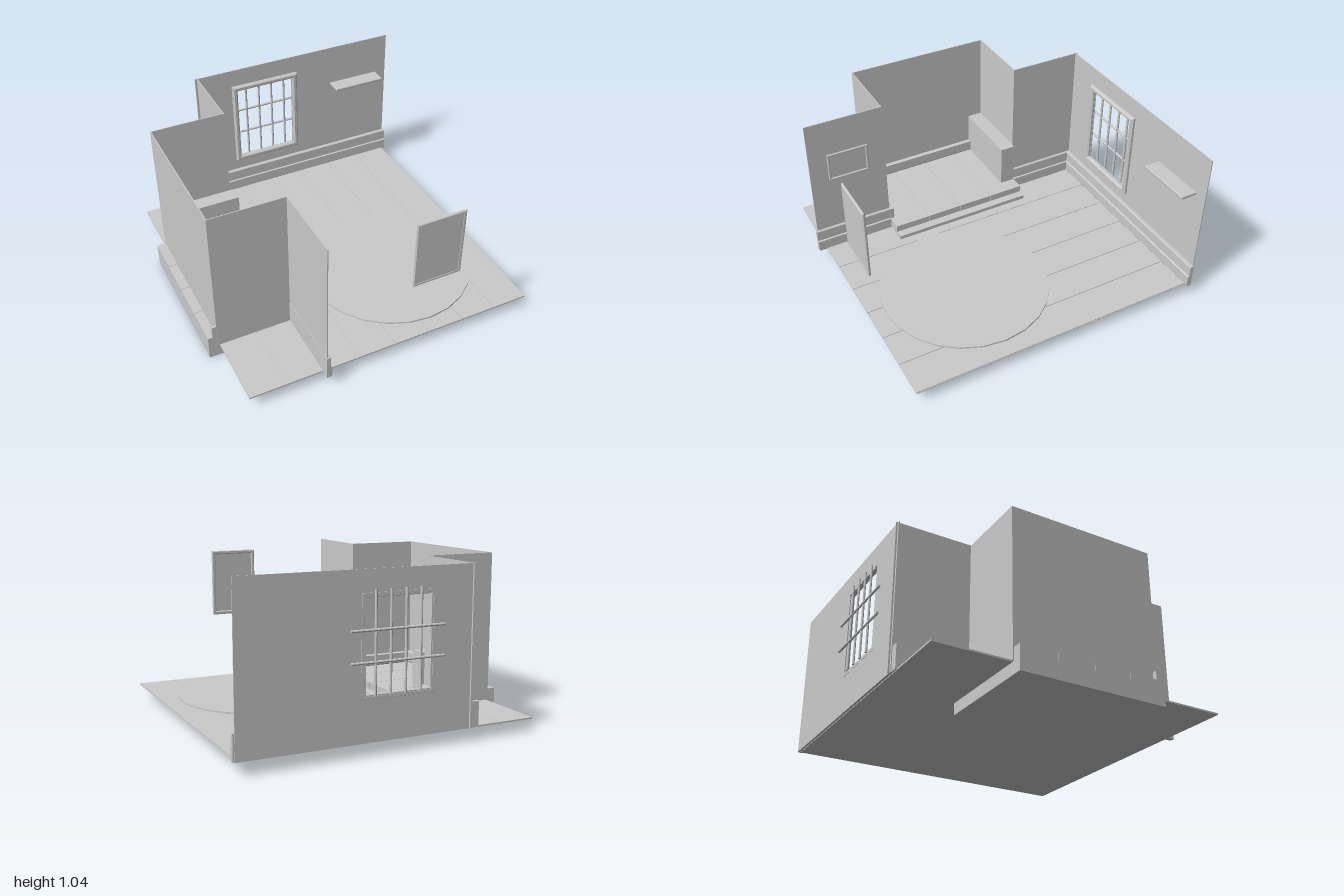
import * as THREE from 'three';

const material = new THREE.MeshStandardMaterial({ color: 0xcccccc, flatShading: true, side: THREE.DoubleSide });

export function createModel() {
  const room = new THREE.Group();
  room.name = 'room';

  const add = (name, geometry, x = 0, y = 0, z = 0) => {
    const mesh = new THREE.Mesh(geometry, material);
    mesh.name = name;
    mesh.position.set(x, y, z);
    room.add(mesh);
    return mesh;
  };

  // Box given by its low and high corners
  const box = (name, x0, x1, y0, y1, z0, z1) =>
    add(name, new THREE.BoxGeometry(x1 - x0, y1 - y0, z1 - z0), (x0 + x1) / 2, (y0 + y1) / 2, (z0 + z1) / 2);

  const rectangle = (target, x0, x1, y0, y1) =>
    target.moveTo(x0, y0).lineTo(x1, y0).lineTo(x1, y1).lineTo(x0, y1).closePath();

  // Bevelled rectangular frame centred on its origin, in the XY plane
  const frameGeometry = (w, h, border, depth) => {
    const shape = rectangle(new THREE.Shape(), -w / 2, w / 2, -h / 2, h / 2);
    const a = w / 2 - border, b = h / 2 - border;
    shape.holes.push(rectangle(new THREE.Path(), -a, a, -b, b));
    const bevel = depth * 0.3;
    return new THREE.ExtrudeGeometry(shape, {
      depth: depth - 2 * bevel, bevelThickness: bevel, bevelSize: bevel, bevelOffset: -bevel, bevelSegments: 1,
    }).center();
  };

  // Floor boards running front to back, over a thin slab
  const x0 = -0.93, x1 = 0.967, front = 0.935, back = -0.965;
  box('floorSlab', x0, x1, 0.075, 0.08, back, front);
  const boards = 8, boardWidth = (x1 - x0) / boards;
  for (let i = 0; i < boards; i++) {
    const x = x0 + i * boardWidth;
    box('floorBoard', x, x + boardWidth - 0.004, 0.08, 0.085, back, front);
  }

  // Round rug
  add('rug', new THREE.CylinderGeometry(0.54, 0.54, 0.012, 24), 0.32, 0.09, 0.3);

  // Raised alcove platform: lower step and a top laid with planks
  box('lowerStep', -1, -0.285, 0, 0.11, -0.49, 0.47);
  const planks = 4, plankWidth = 0.96 / planks;
  for (let i = 0; i < planks; i++) {
    const z = -0.49 + i * plankWidth;
    box('platformPlank', -1, -0.34, 0.11, 0.156, z, z + plankWidth - (i < planks - 1 ? 0.003 : 0));
  }
  box('alcoveLedge', -0.94, -0.437, 0.156, 0.44, -0.49, -0.39);

  // Back wall with a window opening
  const windowX = 0.016, windowY = 0.618;
  const wall = rectangle(new THREE.Shape(), -0.48, 0.98, 0.08, 1.04);
  wall.holes.push(rectangle(new THREE.Path(), -0.19, 0.222, 0.35, 0.888));
  add('backWall', new THREE.ExtrudeGeometry(wall, { depth: 0.006, bevelEnabled: false }), 0, 0, -0.98);

  // Stepped line of side walls around the alcove
  box('sideWallBack', -0.466, -0.46, 0.08, 1.04, -0.99, -0.49);
  box('alcoveWallBack', -0.943, -0.46, 0.08, 1.04, -0.497, -0.491);
  box('alcoveWallSide', -0.943, -0.937, 0.08, 1.04, -0.497, 0.474);
  box('alcoveWallFront', -0.943, -0.46, 0.08, 1.04, 0.468, 0.474);
  box('sideWallFront', -0.466, -0.46, 0.08, 1.04, 0.468, 0.98);

  // Two-tier skirting: depth along +x, length along +z before turning
  const skirting = (name, bottom, length, x, z, turn = 0) => {
    const low = bottom < 0.1;
    const d = low ? 0.034 : 0.028;
    const shape = new THREE.Shape().moveTo(0, bottom).lineTo(d - 0.004, bottom).lineTo(d, bottom + 0.008);
    if (low) shape.lineTo(d, 0.155).lineTo(d - 0.009, 0.16);
    shape.lineTo(low ? d - 0.009 : d, 0.23).lineTo(d - 0.013, 0.235).lineTo(0, 0.235).closePath();
    const mesh = add(name, new THREE.ExtrudeGeometry(shape, { depth: length, bevelEnabled: false }), x, 0, z);
    mesh.rotation.y = turn;
  };
  skirting('skirtingBack', 0.08, 1.52, 0.99, -0.975, -Math.PI / 2);
  skirting('skirtingSideBack', 0.08, 0.585, -0.469, -0.975);
  skirting('skirtingSideFront', 0.08, 0.545, -0.469, 0.445);
  skirting('skirtingAlcoveSide', 0.156, 0.86, -0.94, -0.39);
  skirting('skirtingAlcoveFront', 0.156, 0.53, -0.97, 0.472, Math.PI / 2);

  // Window frame, and a grille of bars outside it
  add('windowFrame', frameGeometry(0.485, 0.605, 0.036, 0.034), windowX, windowY, -0.964);
  for (const x of [-0.12, -0.025, 0.07, 0.165]) {
    add('verticalBar', new THREE.CylinderGeometry(0.008, 0.008, 0.585, 8), x, 0.637, -0.985);
  }
  for (const y of [0.533, 0.71]) {
    const bar = add('horizontalBar', new THREE.CylinderGeometry(0.008, 0.008, 0.59, 8), 0.024, y, -0.99);
    bar.rotation.z = Math.PI / 2;
  }

  // Shelf with softened edges
  const shelf = rectangle(new THREE.Shape(), 0.53, 0.9, 0.865, 0.977);
  const shelfMesh = add('shelf', new THREE.ExtrudeGeometry(shelf, {
    depth: 0.008, bevelThickness: 0.006, bevelSize: 0.005, bevelOffset: -0.005, bevelSegments: 2,
  }), 0, 0.748, 0);
  shelfMesh.rotation.x = -Math.PI / 2;

  // Small framed board on the side wall
  const smallFrame = add('wallFrame', frameGeometry(0.275, 0.197, 0.016, 0.013), -0.455, 0.702, 0.722);
  smallFrame.rotation.y = Math.PI / 2;
  box('wallFramePanel', -0.461, -0.457, 0.615, 0.79, 0.595, 0.85);

  // Picture facing into the room from the open front side
  add('pictureFrame', frameGeometry(0.32, 0.455, 0.024, 0.018), 0.255, 0.757, 0.951);
  box('picturePanel', 0.1, 0.41, 0.535, 0.98, 0.952, 0.958);

  return room;
}
